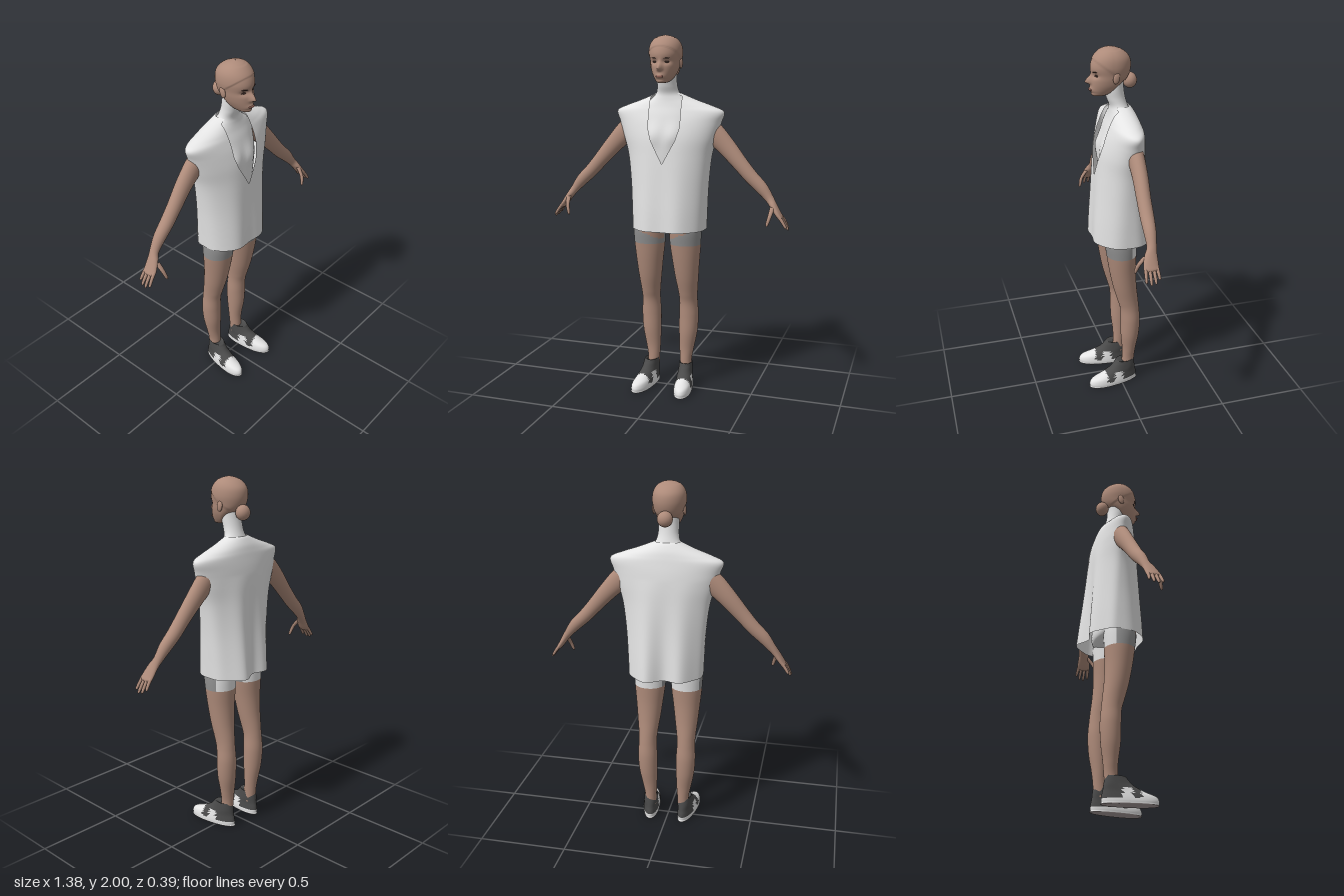
import * as THREE from 'three';

const mat = (name, color, side = THREE.FrontSide) => {
  const m = new THREE.MeshStandardMaterial({ color, side });
  m.name = name;
  return m;
};

// Catmull-Rom interpolation through rows of numbers, t in 0..1
function spline(rows, t) {
  const f = t * (rows.length - 1), i = Math.min(Math.floor(f), rows.length - 2), w = f - i;
  const at = k => rows[Math.max(0, Math.min(rows.length - 1, k))];
  const [p, q, r, s] = [at(i - 1), at(i), at(i + 1), at(i + 2)];
  return q.map((b, k) => {
    const m0 = (r[k] - p[k]) / 2, m1 = (s[k] - b) / 2, d = r[k] - b;
    return b + w * (m0 + w * (3 * d - 2 * m0 - m1 + w * (m0 + m1 - 2 * d)));
  });
}

// Surface from point(u, v); pick(centre) chooses a material index for each face
function surface(nu, nv, point, wrap = true, pick = null) {
  const cols = wrap ? nu : nu + 1, pts = [], buckets = [];
  for (let j = 0; j <= nv; j++) for (let i = 0; i < cols; i++) pts.push(point(i / nu, j / nv));
  for (let j = 0; j < nv; j++) for (let i = 0; i < nu; i++) {
    const a = j * cols + i, b = j * cols + (i + 1) % cols, c = b + cols, d = a + cols;
    const mid = pts[a].clone().add(pts[c]).multiplyScalar(0.5);
    const k = pick ? pick(mid) : 0;
    (buckets[k] ??= []).push(a, b, c, a, c, d);
  }
  const g = new THREE.BufferGeometry().setFromPoints(pts), index = [];
  buckets.forEach((list, k) => {
    if (pick) g.addGroup(index.length, list.length, k);
    for (const n of list) index.push(n);
  });
  g.setIndex(index);
  g.computeVertexNormals();
  return g;
}

// Point on a level oval; zc is the depth of the widest place
function oval(y, cx, rx, zb, zf, zc, a, power = 1) {
  const c = Math.cos(a), e = Math.sign(c) * Math.abs(c) ** power;
  return new THREE.Vector3(cx + rx * Math.sin(a), y, zc + e * (c > 0 ? zf - zc : zc - zb));
}

// Tapered limb along rows of [x, y, z, in-plane radius, depth radius]
function limb(rows, nu, nv) {
  return surface(nu, nv, (u, v) => {
    const [x, y, z, ra, rb] = spline(rows, v);
    const p = spline(rows, Math.max(0, v - 0.02)), q = spline(rows, Math.min(1, v + 0.02));
    const d = new THREE.Vector3(q[0] - p[0], q[1] - p[1], 0).normalize();
    const s = Math.sin(u * 2 * Math.PI) * ra, c = Math.cos(u * 2 * Math.PI) * rb;
    return new THREE.Vector3(x + d.y * s, y - d.x * s, z + c);
  });
}

const bell = (x, w) => Math.exp(-((x / w) ** 2));

export function createModel() {
  const group = new THREE.Group();
  const skin = mat('skin', 0xae8b7a), cloth = mat('white cloth', 0xe4e4e4);
  const shirtCloth = mat('shirt white', 0xe4e4e4, THREE.DoubleSide);
  const grey = mat('grey shorts', 0x919191), dark = mat('dark shoe', 0x4a4a4a);
  const sole = mat('sole', 0xa89c9b), eyeDark = mat('eye dark', 0x3a2a25), lip = mat('lips', 0x8f6156);
  const add = (name, geometry, material, parent = group) => {
    const m = new THREE.Mesh(geometry, material);
    m.name = name;
    parent.add(m);
    return m;
  };
  const blob = (name, material, pos, size) => {
    const m = add(name, new THREE.SphereGeometry(1, 20, 14), material);
    m.position.set(...pos);
    m.scale.set(...size);
    return m;
  };

  // Head with sculpted brow, nose, lips and a slightly raised hair cap: [y, halfWidth, back, front, middle]
  const headRows = [
    [1.745, 0.005, 0.09, 0.115, 0.1], [1.75, 0.03, 0.05, 0.128, 0.08], [1.77, 0.05, 0.02, 0.136, 0.05],
    [1.8, 0.067, -0.015, 0.137, 0.035], [1.83, 0.076, -0.05, 0.136, 0.03], [1.86, 0.081, -0.068, 0.132, 0.025],
    [1.9, 0.087, -0.076, 0.135, 0.025], [1.94, 0.083, -0.07, 0.123, 0.025], [1.97, 0.068, -0.045, 0.1, 0.027],
    [1.99, 0.043, -0.01, 0.072, 0.03], [2, 0.002, 0.028, 0.032, 0.03]];
  add('head', surface(72, 72, (u, v) => {
    const [y, rx, zb, zf, zc] = spline(headRows, v);
    const p = oval(y, 0, rx, zb, zf, zc, u * 2 * Math.PI);
    if (p.z > 0.05) {
      const x = Math.abs(p.x);
      p.z += 0.03 * bell(x, 0.013) * (y < 1.822 ? bell(y - 1.822, 0.011) : bell(y - 1.822, 0.03));
      p.z += 0.007 * bell(x, 0.02) * bell(y - 1.782, 0.012) - 0.004 * bell(x, 0.03) * bell(y - 1.765, 0.006);
      p.z -= 0.011 * bell(x - 0.033, 0.02) * bell(y - 1.858, 0.013);
    }
    const hair = THREE.MathUtils.smoothstep(y - 1.845 - p.z * 0.75, 0, 0.008) * (y < 1.985 ? 1 : 0);
    p.x *= 1 + 0.04 * hair;
    p.z += 0.003 * hair * Math.sign(p.z - 0.03);
    return p;
  }), skin);
  blob('hairBun', skin, [0.004, 1.817, -0.075], [0.042, 0.042, 0.038]);
  blob('lips', lip, [0, 1.781, 0.138], [0.022, 0.007, 0.008]);
  for (const s of [-1, 1]) {
    blob('eye', eyeDark, [s * 0.034, 1.857, 0.113], [0.014, 0.005, 0.004]).rotation.y = s * 0.35;
    const brow = blob('eyebrow', eyeDark, [s * 0.036, 1.877, 0.121], [0.018, 0.003, 0.004]);
    brow.rotation.set(0, s * 0.4, s * 0.1);
    blob('ear', skin, [s * 0.083, 1.85, 0.018], [0.009, 0.03, 0.018]).rotation.x = -0.2;
  }

  // Bodysuit from hips to high neck: [y, halfWidth, back, front]
  const bodyRows = [
    [0.915, 0.01, -0.02, 0.01], [0.925, 0.1, -0.09, 0.05], [0.98, 0.18, -0.12, 0.085], [1.2, 0.14, -0.09, 0.085],
    [1.36, 0.15, -0.09, 0.094], [1.46, 0.16, -0.09, 0.09], [1.56, 0.16, -0.09, 0.067], [1.62, 0.14, -0.085, 0.046],
    [1.66, 0.095, -0.075, 0.036], [1.69, 0.066, -0.062, 0.035], [1.73, 0.056, -0.05, 0.05],
    [1.78, 0.056, -0.042, 0.062], [1.83, 0.056, -0.04, 0.055]];
  add('bodysuit', surface(48, 80, (u, v) => {
    const [y, rx, zb, zf] = spline(bodyRows, v);
    const p = oval(y, 0, rx, zb, zf, (zb + zf) / 2, u * 2 * Math.PI);
    if (p.z > 0) p.z += 0.016 * bell(Math.abs(p.x) - 0.06, 0.045) * bell(y - 1.46, 0.06);
    return p;
  }), cloth);

  // Loose shirt, open in a deep V, with folds that deepen towards the hem
  const shirtRows = [
    [0.935, 0.208, -0.17, 0.148], [1.05, 0.213, -0.163, 0.143], [1.2, 0.222, -0.152, 0.133],
    [1.35, 0.24, -0.142, 0.122], [1.45, 0.268, -0.135, 0.112], [1.53, 0.292, -0.126, 0.093],
    [1.59, 0.308, -0.115, 0.07], [1.62, 0.25, -0.108, 0.058], [1.65, 0.165, -0.098, 0.047],
    [1.68, 0.09, -0.08, 0.037], [1.69, 0.07, -0.068, 0.034]];
  add('shirt', surface(96, 70, (u, v) => {
    const [y, rx, zb, zf] = spline(shirtRows, v);
    const neck = y < 1.44 ? Math.max(0, (y - 1.31) * 0.54) : Math.min(0.09, 0.07 + (y - 1.44) * 0.3);
    const a0 = Math.asin(Math.min(neck / rx, 0.8));
    const low = THREE.MathUtils.clamp((1.5 - y) / 0.56, 0, 1);
    const a = a0 + u * 2 * (Math.PI - a0);
    const p = oval(y, 0.007 * Math.min(1, (1.69 - y) * 8), rx, zb, zf, -0.03, a, 1 - 0.3 * low);
    const fold = Math.cos(Math.PI * p.x / 0.1) * low * Math.abs(Math.cos(a));
    p.z += Math.cos(a) < 0 ? 0.022 * fold - 0.14 * p.x * low * Math.abs(Math.cos(a)) : -0.008 * fold;
    return p;
  }, false), shirtCloth);

  // Rows for the legs [y, x, halfWidth, back, front] and shoes [y, halfWidth, back, front, middle]
  const legRows = [
    [0.08, 0.1, 0.034, -0.08, -0.01], [0.15, 0.098, 0.034, -0.085, -0.012], [0.22, 0.102, 0.042, -0.092, -0.012],
    [0.32, 0.11, 0.053, -0.107, -0.002], [0.42, 0.113, 0.056, -0.112, 0], [0.5, 0.113, 0.052, -0.106, 0.004],
    [0.56, 0.112, 0.055, -0.1, 0.02], [0.65, 0.11, 0.066, -0.09, 0.045], [0.75, 0.108, 0.077, -0.085, 0.065],
    [0.85, 0.106, 0.088, -0.087, 0.08], [0.93, 0.105, 0.091, -0.09, 0.09], [1, 0.1, 0.088, -0.09, 0.085]];
  const shoeRows = [
    [0, 0.002, 0.04, 0.045, 0.042], [0, 0.044, -0.092, 0.185, 0.07], [0.012, 0.05, -0.098, 0.197, 0.07],
    [0.03, 0.05, -0.1, 0.198, 0.065], [0.05, 0.047, -0.097, 0.183, 0.05], [0.07, 0.043, -0.092, 0.13, 0.02],
    [0.1, 0.04, -0.088, 0.07, -0.02], [0.13, 0.038, -0.083, 0.04, -0.03], [0.145, 0.036, -0.08, 0.024, -0.03],
    [0.13, 0.03, -0.07, -0.015, -0.04]];
  const armRows = [
    [0.17, 1.55, -0.035, 0.055, 0.045], [0.25, 1.48, -0.035, 0.06, 0.043], [0.33, 1.4, -0.035, 0.051, 0.04],
    [0.41, 1.31, -0.03, 0.042, 0.037], [0.47, 1.243, -0.028, 0.038, 0.036], [0.53, 1.185, -0.025, 0.034, 0.032],
    [0.575, 1.13, -0.02, 0.024, 0.026], [0.6, 1.095, -0.008, 0.02, 0.033], [0.63, 1.05, 0, 0.016, 0.04],
    [0.645, 1.03, 0, 0.012, 0.036], [0.65, 1.022, 0, 0.001, 0.01]];

  for (const s of [-1, 1]) {
    const side = s > 0 ? 'left' : 'right';
    const mirror = rows => rows.map(([x, ...rest]) => [s * x, ...rest]);

    // Leg, with short trouser bands around the top of the thigh
    add(side + 'Leg', surface(36, 100, (u, v) => {
      const [y, x, rx, zb, zf] = spline(legRows, v);
      return oval(y, s * x, rx, zb, zf, (zb + zf) / 2, u * 2 * Math.PI);
    }, true, p => {
      if (p.y < 0.85) return 0;
      if (p.z < -0.04) return 2;
      const inner = 0.16 - Math.abs(p.x);
      return p.z > 0.02 && inner > 0 && p.y > 0.935 - inner * 0.4 && p.y < 0.965 - inner * 0.4 ? 0 : 1;
    }), [skin, grey, cloth]);

    // Shoe, turned slightly outwards
    const shoe = add(side + 'Shoe', surface(40, 54, (u, v) => {
      const [y, rx, zb, zf, zc] = spline(shoeRows, v);
      return oval(Math.max(0, y), 0, rx, zb, zf, zc, u * 2 * Math.PI, 0.85);
    }, true, p => (p.y < 0.004 ? 2 : p.y < 0.03 || p.z > 0.1 || (p.y < 0.085 && Math.abs(p.z - 0.03) < 0.025) ? 1 : 0)),
    [dark, cloth, sole]);
    shoe.position.x = s * 0.108;
    shoe.rotation.y = s * 0.14;

    // Arm, palm, four fingers and thumb
    add(side + 'Arm', limb(mirror(armRows), 28, 60), skin);
    [[0.033, 0.9], [0.011, 1.05], [-0.011, 1], [-0.031, 0.8]].forEach(([z, len]) => {
      add(side + 'Finger', limb(mirror([
        [0.63, 1.05, z * 0.9, 0.01, 0.01], [0.63 + 0.028 * len, 1.05 - 0.035 * len, z, 0.009, 0.009],
        [0.63 + 0.05 * len, 1.05 - 0.07 * len, z * 1.1, 0.007, 0.007],
        [0.63 + 0.054 * len, 1.05 - 0.078 * len, z * 1.1, 0.001, 0.001]]), 12, 12), skin);
    });
    add(side + 'Thumb', limb(mirror([
      [0.6, 1.09, 0.015, 0.014, 0.014], [0.592, 1.045, 0.05, 0.011, 0.011],
      [0.58, 1.0, 0.064, 0.008, 0.008], [0.577, 0.99, 0.066, 0.001, 0.001]]), 12, 12), skin);
  }
  return group;
}
